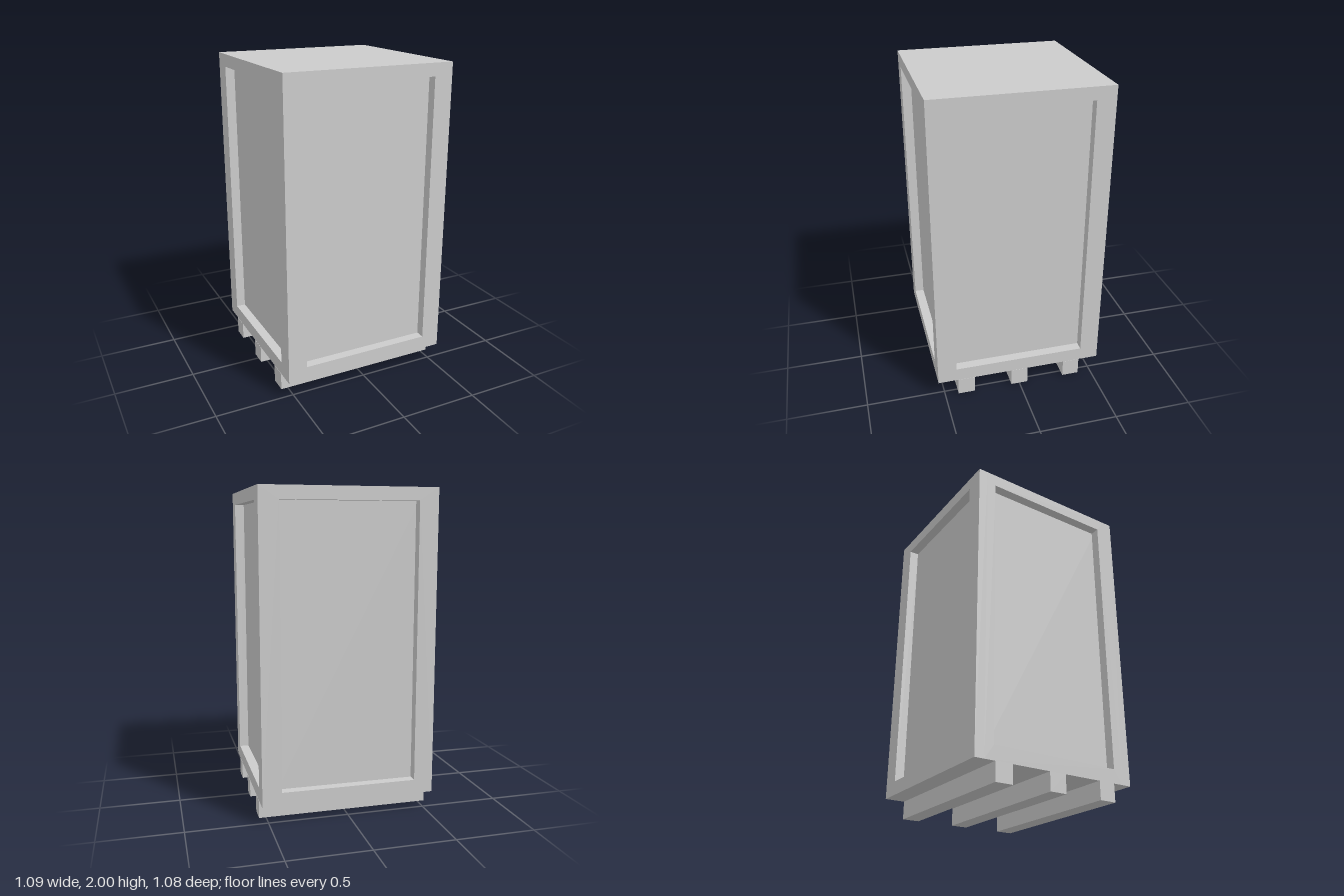
import * as THREE from 'three';

const WIDTH = 1.084, BOTTOM = 0.113, TOP = 2, DEPTH = 0.06;
const OPENING = { half: 0.422, bottom: 0.2, top: 1.92 };

const material = new THREE.MeshStandardMaterial({ color: 0xcccccc, flatShading: true });

function rectangle(target, half, bottom, top) {
  target.moveTo(-half, bottom);
  target.lineTo(half, bottom);
  target.lineTo(half, top);
  target.lineTo(-half, top);
  target.closePath();
  return target;
}

// Rectangular frame with an open centre, facing +z
function frameGeometry(width) {
  const shape = rectangle(new THREE.Shape(), width / 2, BOTTOM, TOP);
  shape.holes.push(rectangle(new THREE.Path(), OPENING.half, OPENING.bottom, OPENING.top));
  const geometry = new THREE.ExtrudeGeometry(shape, { depth: DEPTH, bevelEnabled: false });
  return geometry.translate(0, 0, WIDTH / 2 - DEPTH);
}

function addBox(group, name, size, position) {
  const mesh = new THREE.Mesh(new THREE.BoxGeometry(...size), material);
  mesh.name = name;
  mesh.position.set(...position);
  group.add(mesh);
}

export function createModel() {
  const group = new THREE.Group();
  group.name = 'crate';

  // Inner box whose sides form the recessed panels
  const inner = WIDTH - 2 * DEPTH;
  addBox(group, 'innerBox', [inner, TOP - BOTTOM, inner], [0, (TOP + BOTTOM) / 2, 0]);

  // Raised frames; the side frames butt between the front and back ones
  ['frontFrame', 'leftFrame', 'backFrame', 'rightFrame'].forEach((name, i) => {
    const frame = new THREE.Mesh(frameGeometry(i % 2 ? inner : WIDTH), material);
    frame.name = name;
    frame.rotation.y = i * Math.PI / 2;
    group.add(frame);
  });

  // Three runners under the crate
  ['backRunner', 'middleRunner', 'frontRunner'].forEach((name, i) => {
    addBox(group, name, [1.087, BOTTOM, 0.11], [0, BOTTOM / 2, (i - 1) * 0.358]);
  });

  return group;
}
